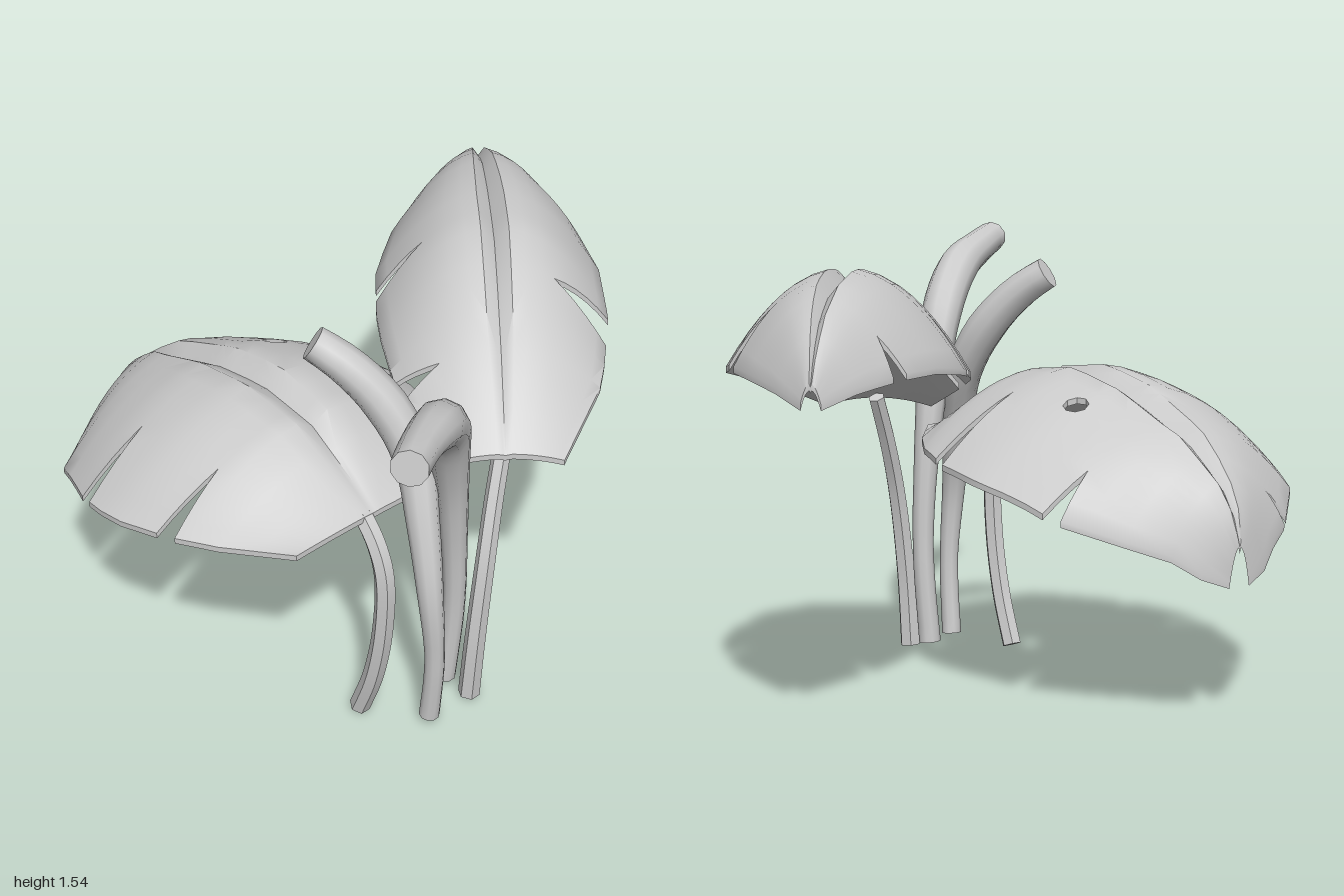
import * as THREE from 'three';
import { mergeVertices, toCreasedNormals } from 'three/addons/utils/BufferGeometryUtils.js';

const material = new THREE.MeshStandardMaterial({ color: 0xcccccc, side: THREE.DoubleSide });
const ROWS = [0, 0.04, 0.12, 0.25, 0.4, 0.5, 0.6, 0.7, 0.8, 0.9, 1]; // midrib to margin

// Linear lookup in a list of [position, value] pairs
function lookup(table, s) {
  let k = 1;
  while (k < table.length - 1 && s > table[k][0]) k++;
  const [a, va] = table[k - 1], [b, vb] = table[k];
  return va + (vb - va) * THREE.MathUtils.clamp((s - a) / (b - a), 0, 1);
}

// Give a single-layer surface a lower skin and a rim along every open edge
function thicken(surface, depth) {
  const pos = Array.from(surface.attributes.position.array);
  const tris = Array.from(surface.index.array);
  const n = pos.length / 3;
  const edges = new Set();
  const index = [...tris];
  for (let i = 0; i < n; i++) pos.push(pos[3 * i], pos[3 * i + 1] - depth, pos[3 * i + 2]);
  for (let i = 0; i < tris.length; i += 3) {
    const t = tris.slice(i, i + 3);
    index.push(t[2] + n, t[1] + n, t[0] + n);
    t.forEach((a, k) => edges.add(`${a},${t[(k + 1) % 3]}`));
  }
  for (const e of edges) {
    const [a, b] = e.split(',').map(Number);
    if (!edges.has(`${b},${a}`)) index.push(b, a, a + n, b, a + n, b + n);
  }
  const geo = new THREE.BufferGeometry();
  geo.setAttribute('position', new THREE.Float32BufferAttribute(pos, 3));
  geo.setIndex(index);
  return geo;
}

// Arched leaf blade. s runs from base to tip, v from midrib to margin.
// notches: [side, s, v where the tear starts, half width at the margin]
function leafBlade({ base, dir, stations, width, margin, ridge, notches, hole }) {
  const d = new THREE.Vector2(...dir).normalize();
  const verts = [];
  const point = (s, v, side) => {
    const t = side * v * lookup(width, s);
    const low = lookup(margin, s), rise = lookup(ridge, s) - low;
    const groove = 0.17 * Math.max(0, 1 - v / 0.12);
    return [base[0] + d.x * s - d.y * t, low + rise * (1 - v * v - groove), base[1] + d.y * s + d.x * t];
  };
  const quad = (a, b, c, e, side) => {
    const q = side > 0 ? [a, e, c, b] : [a, b, c, e];
    for (const k of [0, 1, 2, 0, 2, 3]) verts.push(...q[k]);
  };
  for (const side of [1, -1]) {
    const gap = (s, v) => {
      const tear = notches.find(([k, at]) => k === side && at === s);
      return tear ? tear[3] * Math.max(0, (v - tear[2]) / (1 - tear[2])) : 0;
    };
    for (let i = 0; i < stations.length - 1; i++) {
      for (let j = 0; j < ROWS.length - 1; j++) {
        if (hole && side === hole.side && [hole.i - 1, hole.i].includes(i) && [hole.j - 1, hole.j].includes(j)) continue;
        const a = stations[i], b = stations[i + 1], v = ROWS[j], w = ROWS[j + 1];
        quad(point(a + gap(a, v), v, side), point(b - gap(b, v), v, side),
          point(b - gap(b, w), w, side), point(a + gap(a, w), w, side), side);
      }
    }
  }
  // Small round hole joined to the eight grid points around it
  if (hole) {
    const { i, j, side, radius } = hole;
    const ring = [[-1, -1], [0, -1], [1, -1], [1, 0], [1, 1], [0, 1], [-1, 1], [-1, 0]];
    const outer = ring.map(([x, y]) => point(stations[i + x], ROWS[j + y], side));
    const inner = ring.map(([x, y]) => {
      const r = radius / Math.hypot(x, y);
      return point(stations[i] + r * x, ROWS[j] + r * y / lookup(width, stations[i]), side);
    });
    ring.forEach((_, k) => quad(outer[k], outer[(k + 1) % 8], inner[(k + 1) % 8], inner[k], side));
  }
  const surface = new THREE.BufferGeometry();
  surface.setAttribute('position', new THREE.Float32BufferAttribute(verts, 3));
  return toCreasedNormals(thicken(mergeVertices(surface, 1e-4), 0.02), 0.7);
}

// Capped tube through points, with radii spread evenly along its length
function stalk(points, radii, sides) {
  const path = new THREE.CatmullRomCurve3(points.map((p) => new THREE.Vector3(...p)));
  const n = 32;
  const geo = new THREE.TubeGeometry(path, n, 1, sides);
  const pos = geo.attributes.position;
  const table = radii.map((r, k) => [k / (radii.length - 1), r]);
  const p = new THREE.Vector3();
  for (let i = 0; i < pos.count; i++) {
    const k = Math.floor(i / (sides + 1));
    const centre = path.getPointAt(k / n);
    const seat = path.getPointAt(THREE.MathUtils.clamp(k, 1, n - 1) / n);
    const r = k === 0 || k === n ? 0 : lookup(table, k / n);
    p.fromBufferAttribute(pos, i).sub(centre).multiplyScalar(r).add(seat);
    pos.setXYZ(i, p.x, p.y, p.z);
  }
  geo.deleteAttribute('uv');
  return toCreasedNormals(geo, 0.75);
}

export function createModel() {
  const group = new THREE.Group();
  const add = (name, geo) => {
    const mesh = new THREE.Mesh(geo, material);
    mesh.name = name;
    group.add(mesh);
  };

  // Broad lower leaf with torn margins and a hole
  add('lowerLeaf', leafBlade({
    base: [0.4, 0.4], dir: [-1, -0.04],
    stations: [0, 0.1, 0.2, 0.3, 0.36, 0.44, 0.53, 0.63, 0.73, 0.79, 0.85, 0.93, 1.02, 1.1, 1.19, 1.27, 1.32, 1.35],
    width: [[0, 0.31], [0.2, 0.46], [0.36, 0.55], [0.57, 0.61], [0.74, 0.6], [1.02, 0.5], [1.2, 0.32], [1.32, 0.13], [1.35, 0.04]],
    margin: [[0, 0.87], [0.4, 0.85], [0.7, 0.81], [0.9, 0.76], [1.25, 0.62], [1.35, 0.51]],
    ridge: [[0, 0.88], [0.1, 0.96], [0.3, 1.09], [0.55, 1.12], [0.8, 1.07], [1.1, 0.95], [1.26, 0.83], [1.32, 0.74], [1.35, 0.64]],
    notches: [[1, 0.53, 0.5, 0.035], [1, 1.02, 0.7, 0.025], [-1, 0.36, 0.6, 0.03], [-1, 0.73, 0.6, 0.026], [-1, 1.19, 0.7, 0.015]],
    hole: { i: 9, j: 4, side: 1, radius: 0.04 },
  }));

  // Narrower upper leaf reaching backwards
  add('upperLeaf', leafBlade({
    base: [0.53, -0.05], dir: [-1.07, -0.92],
    stations: [-0.04, 0.06, 0.14, 0.21, 0.3, 0.38, 0.45, 0.56, 0.65, 0.76, 0.87, 0.99, 1.08, 1.17, 1.25, 1.32, 1.37, 1.41],
    width: [[-0.04, 0.19], [0.23, 0.34], [0.52, 0.39], [0.76, 0.385], [0.97, 0.33], [1.16, 0.24], [1.31, 0.13], [1.41, 0.03]],
    margin: [[-0.04, 0.95], [0.25, 1.07], [0.52, 1.12], [0.76, 1.16], [0.97, 1.19], [1.16, 1.19], [1.31, 1.17], [1.41, 1.13]],
    ridge: [[-0.04, 0.98], [0.2, 1.22], [0.4, 1.37], [0.55, 1.46], [0.7, 1.48], [0.9, 1.48], [1.1, 1.45], [1.25, 1.38], [1.35, 1.29], [1.41, 1.19]],
    notches: [[1, 0.45, 0.5, 0.06], [1, 0.99, 0.6, 0.03], [-1, 0.21, 0.6, 0.03], [-1, 0.65, 0.6, 0.025], [-1, 1.17, 0.7, 0.025]],
  }));

  // Six-sided leaf stems
  add('lowerLeafStem', stalk([[0.34, 0, 0.42], [0.42, 0.22, 0.42], [0.465, 0.45, 0.42], [0.47, 0.68, 0.42], [0.43, 0.79, 0.42], [0.35, 0.89, 0.42]], [0.036, 0.034], 6));
  add('upperLeafStem', stalk([[0.56, 0, 0.11], [0.575, 0.3, 0.1], [0.57, 0.6, 0.06], [0.54, 0.8, 0], [0.5, 1, -0.08]], [0.038, 0.03], 6));

  // Young rolled leaves, thickening towards the tip
  add('leftShoot', stalk([[0.455, 0, 0.13], [0.49, 0.4, 0.12], [0.51, 0.75, 0.15], [0.54, 1.02, 0.2], [0.6, 1.25, 0.28], [0.71, 1.4, 0.43], [0.82, 1.47, 0.61], [0.93, 1.51, 0.77]],
    [0.04, 0.038, 0.038, 0.042, 0.05, 0.062, 0.074, 0.076, 0.062, 0.055], 10));
  add('rightShoot', stalk([[0.55, 0, 0.29], [0.585, 0.32, 0.3], [0.575, 0.6, 0.315], [0.51, 0.85, 0.29], [0.43, 1.05, 0.26], [0.34, 1.21, 0.29], [0.24, 1.34, 0.36], [0.12, 1.44, 0.45]],
    [0.036, 0.034, 0.034, 0.04, 0.048, 0.056, 0.066, 0.07, 0.064, 0.055], 10));

  return group;
}
